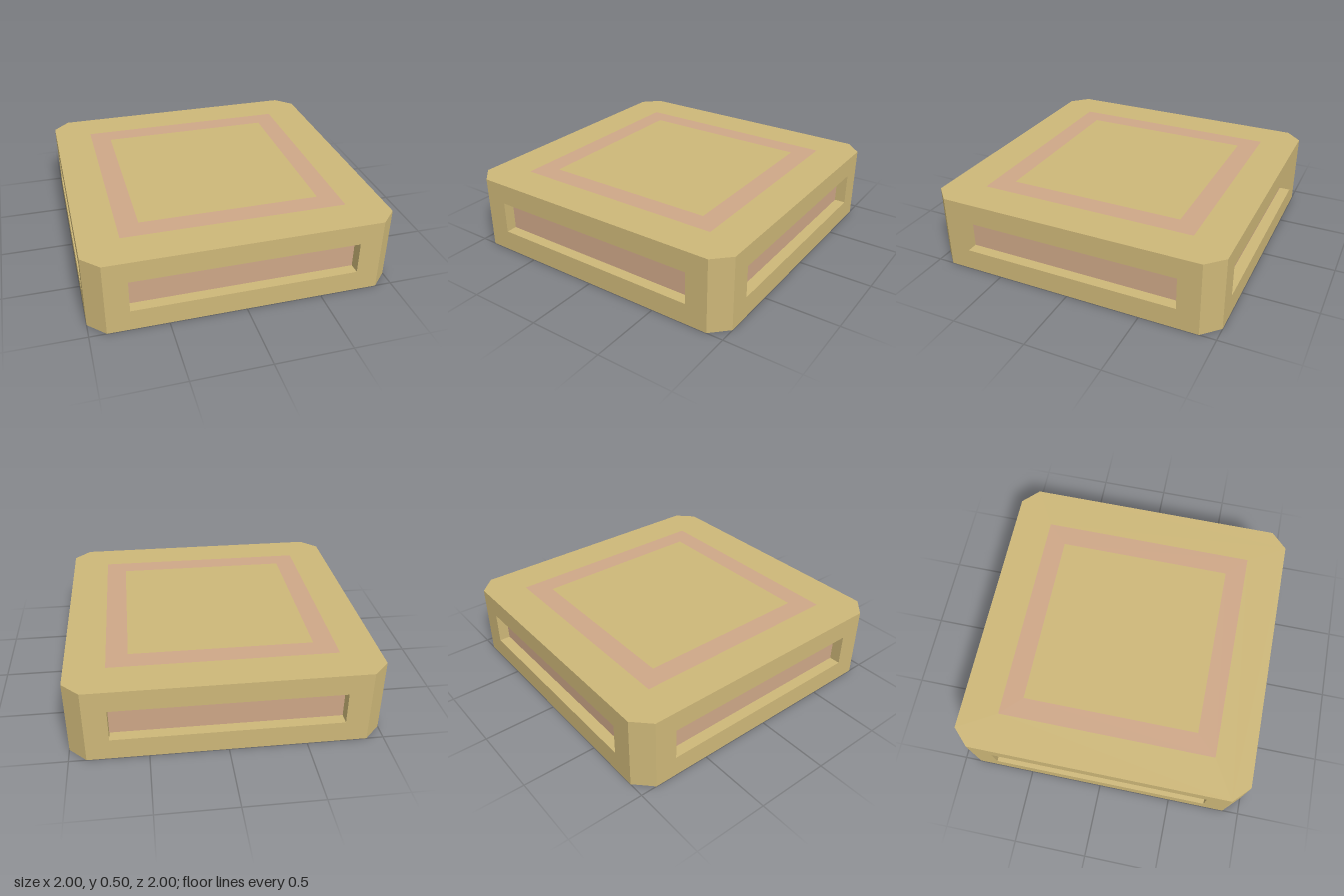
import * as THREE from 'three';

const HALF = 1, CUT = 0.11, HEIGHT = 0.5;   // block outline
const SLOT = 0.74, LOW = 0.143, HIGH = 0.36, DEPTH = 0.075; // side recesses
const RING_OUT = 0.74, RING_IN = 0.6;       // inlay on top

const sand = new THREE.MeshStandardMaterial({ color: 0xcdb778 });
sand.name = 'sand';
const clay = new THREE.MeshStandardMaterial({ color: 0xcea787 });
clay.name = 'clay';

function polygon(points, holes = []) {
  const shape = new THREE.Shape(points.map(([x, y]) => new THREE.Vector2(x, y)));
  for (const h of holes) shape.holes.push(new THREE.Path(h.map(([x, y]) => new THREE.Vector2(x, y))));
  return new THREE.ShapeGeometry(shape);
}

const rect = (x0, y0, x1, y1) => [[x0, y0], [x1, y0], [x1, y1], [x0, y1]];
const square = (r) => rect(-r, -r, r, r);

function add(parent, name, geometry, material) {
  const mesh = new THREE.Mesh(geometry, material);
  mesh.name = name;
  parent.add(mesh);
  return mesh;
}

// One side: face with a slot, the slot's four inner walls and its coloured back
function createSide() {
  const side = new THREE.Group();
  const w = HALF - CUT;
  add(side, 'sideFace', polygon(rect(-w, 0, w, HEIGHT), [rect(-SLOT, LOW, SLOT, HIGH)]), sand)
    .position.z = HALF;
  add(side, 'recessPanel', polygon(rect(-SLOT, LOW, SLOT, HIGH)), clay)
    .position.z = HALF - DEPTH;

  const zMid = HALF - DEPTH / 2, yMid = (LOW + HIGH) / 2;
  for (const s of [-1, 1]) {
    const jamb = add(side, 'recessJamb', new THREE.PlaneGeometry(DEPTH, HIGH - LOW), sand);
    jamb.position.set(s * SLOT, yMid, zMid);
    jamb.rotation.y = -s * Math.PI / 2;
    const ledge = add(side, 'recessLedge', new THREE.PlaneGeometry(2 * SLOT, DEPTH), sand);
    ledge.position.set(0, s < 0 ? LOW : HIGH, zMid);
    ledge.rotation.x = s * Math.PI / 2;
  }
  return side;
}

export function createModel() {
  const model = new THREE.Group();
  model.name = 'inlaidBlock';

  // Octagonal outline with short corner cuts
  const a = HALF, b = HALF - CUT;
  const outline = [[a, -b], [a, b], [b, a], [-b, a], [-a, b], [-a, -b], [-b, -a], [b, -a]];

  // Top: border, flush inlay ring and centre
  const top = new THREE.Group();
  top.name = 'top';
  top.rotation.x = -Math.PI / 2;
  top.position.y = HEIGHT;
  add(top, 'topBorder', polygon(outline, [square(RING_OUT)]), sand);
  add(top, 'inlayRing', polygon(square(RING_OUT), [square(RING_IN)]), clay);
  add(top, 'topCentre', polygon(square(RING_IN)), sand);
  model.add(top);

  add(model, 'base', polygon(outline), sand).rotation.x = Math.PI / 2;

  // Four recessed sides and four cut corners
  const names = ['front', 'left', 'back', 'right'];
  for (let i = 0; i < 4; i++) {
    const side = createSide();
    side.name = names[i] + 'Side';
    side.rotation.y = i * Math.PI / 2;
    model.add(side);

    const angle = (i + 0.5) * Math.PI / 2;
    const reach = (a + b) / Math.SQRT2;
    const corner = add(model, 'cutCorner', new THREE.PlaneGeometry(CUT * Math.SQRT2, HEIGHT), sand);
    corner.position.set(Math.sin(angle) * reach, HEIGHT / 2, Math.cos(angle) * reach);
    corner.rotation.y = angle;
  }
  return model;
}
